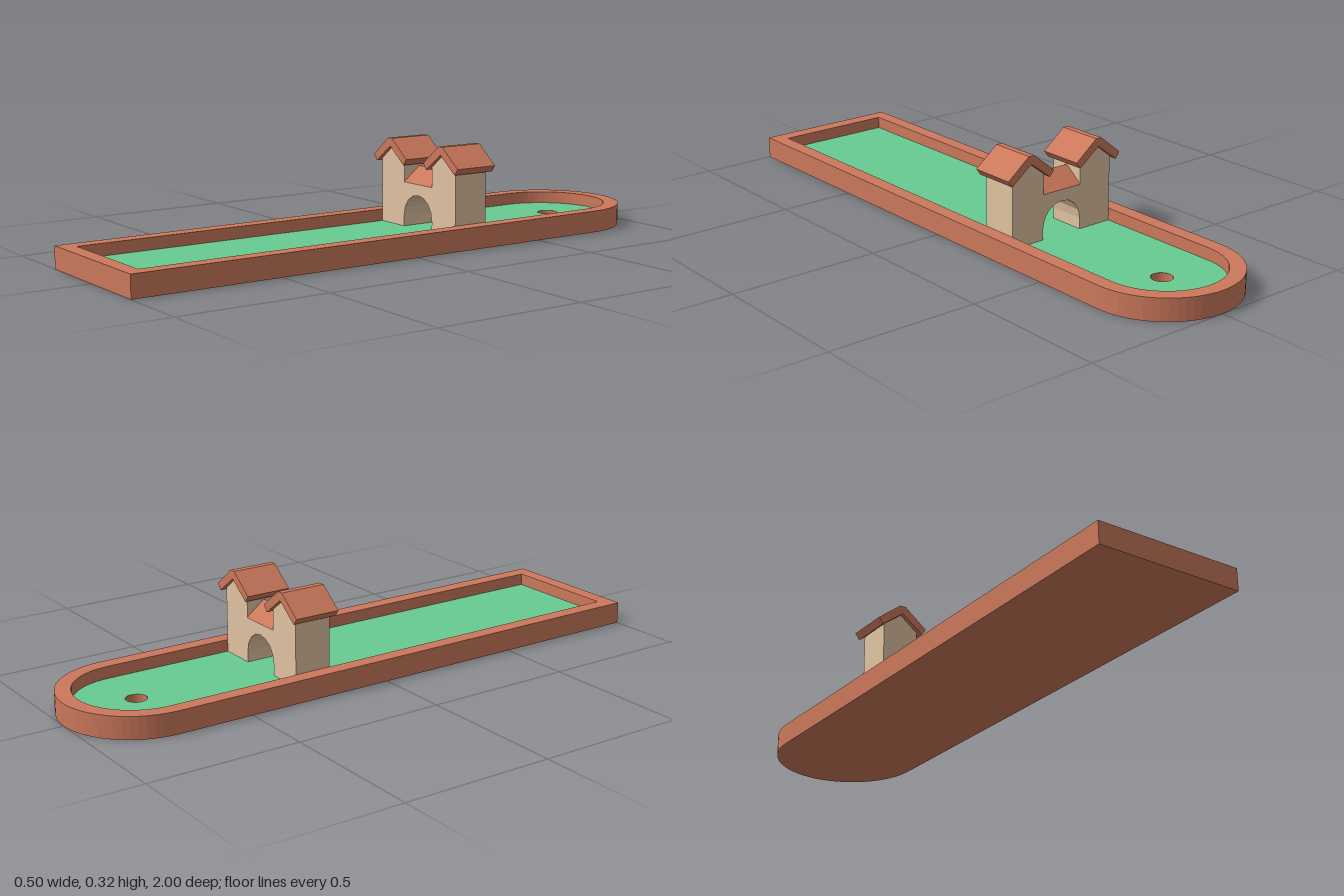
import * as THREE from 'three';

const mat = (name, color) => {
  const m = new THREE.MeshStandardMaterial({ color });
  m.name = name;
  return m;
};

const FLOOR = 0.033, CURB = 0.073;

// Lane outline: square front end, rounded back end (shape y is -z)
function laneShape(half, front, Type = THREE.Shape) {
  const s = new Type();
  s.moveTo(-half, -front);
  s.lineTo(half, -front);
  s.lineTo(half, 0.75);
  s.absarc(0, 0.75, half, 0, Math.PI, false);
  s.lineTo(-half, -front);
  return s;
}

function extrude(shape, depth, curveSegments = 16) {
  return new THREE.ExtrudeGeometry(shape, { depth, bevelEnabled: false, curveSegments });
}

// Polygon from a list of [x, y] pairs
const polygon = (pts) => new THREE.Shape(pts.map(([x, y]) => new THREE.Vector2(x, y)));

export function createModel() {
  const coral = mat('coral', 0xcb785b);
  const green = mat('green', 0x67cb92);
  const tan = mat('tan', 0xe0c3a1);
  const group = new THREE.Group();
  group.name = 'golfLane';
  const add = (name, geo, material, parent = group) => {
    const mesh = new THREE.Mesh(geo, material);
    mesh.name = name;
    parent.add(mesh);
    return mesh;
  };

  // Curb running round the lane
  const curb = laneShape(0.25, 1);
  curb.holes.push(laneShape(0.2, 0.95, THREE.Path));
  add('curb', extrude(curb, CURB).rotateX(-Math.PI / 2), coral);

  // Underside
  add('underside', new THREE.ShapeGeometry(laneShape(0.25, 1), 16).rotateX(Math.PI / 2).scale(1, 1, -1).rotateZ(0), coral)
    .geometry.setIndex(
      // the mirrored plate needs its corners in reverse order
      [...new THREE.ShapeGeometry(laneShape(0.25, 1), 16).index.array].reverse());
  group.getObjectByName('underside').geometry.computeVertexNormals();

  // Putting surface with the hole cut out
  const turf = laneShape(0.2, 0.95);
  turf.holes.push(new THREE.Path().absarc(0, 0.757, 0.034, 0, Math.PI * 2, true));
  const turfMesh = add('turf', new THREE.ShapeGeometry(turf, 16).rotateX(-Math.PI / 2), green);
  turfMesh.position.y = FLOOR;

  // Cup: inner wall and bottom
  const cup = new THREE.Group();
  cup.name = 'cup';
  cup.position.z = -0.757;
  group.add(cup);
  const wall = new THREE.CylinderGeometry(0.034, 0.034, FLOOR - 0.004, 16, 1, true).scale(-1, 1, 1);
  wall.setIndex([...wall.index.array]);
  const n = wall.attributes.normal;
  for (let i = 0; i < n.count; i++) n.setXYZ(i, -n.getX(i), 0, -n.getZ(i));
  add('cupWall', wall, coral, cup).position.y = (FLOOR + 0.004) / 2;
  add('cupBottom', new THREE.CircleGeometry(0.034, 16).rotateX(-Math.PI / 2), coral, cup).position.y = 0.004;

  // Gatehouse across the lane
  const castle = new THREE.Group();
  castle.name = 'gatehouse';
  castle.position.z = -0.25;
  group.add(castle);

  // Twin gabled towers joined by an arched wall
  const arch = [];
  for (let i = 0; i <= 8; i++) {
    const a = Math.PI * (1 - i / 8);
    arch.push([0.076 * Math.cos(a), 0.07 + 0.076 * Math.sin(a)]);
  }
  const walls = polygon([
    [-0.2, FLOOR], [-0.076, FLOOR], ...arch, [0.076, FLOOR], [0.2, FLOOR],
    [0.2, 0.25], [0.1375, 0.298], [0.075, 0.25], [0.075, 0.183],
    [-0.075, 0.183], [-0.075, 0.25], [-0.1375, 0.298], [-0.2, 0.25],
  ]);
  add('gatehouseWalls', extrude(walls, 0.125).translate(0, 0, -0.0625), tan);
  castle.add(group.getObjectByName('gatehouseWalls'));

  // Ridged roof over the arch
  const ridge = polygon([[-0.064, 0.183], [0.064, 0.183], [0, 0.233]]);
  add('bridgeRoof', extrude(ridge, 0.15).translate(0, 0, -0.075).rotateY(Math.PI / 2), coral, castle);

  // Overhanging tower roofs
  const slope = [[0.0105, 0.325], [0.0905, 0.262], [0.075, 0.241]];
  const roof = polygon([
    [0, 0.298], ...slope.map(([x, y]) => [-x, y]).reverse(), ...slope,
  ]);
  for (const side of [-1, 1]) {
    const r = add(side > 0 ? 'leftTowerRoof' : 'rightTowerRoof',
      extrude(roof, 0.154).translate(0, 0, -0.077), coral, castle);
    r.position.x = side * 0.1375;
  }
  return group;
}
